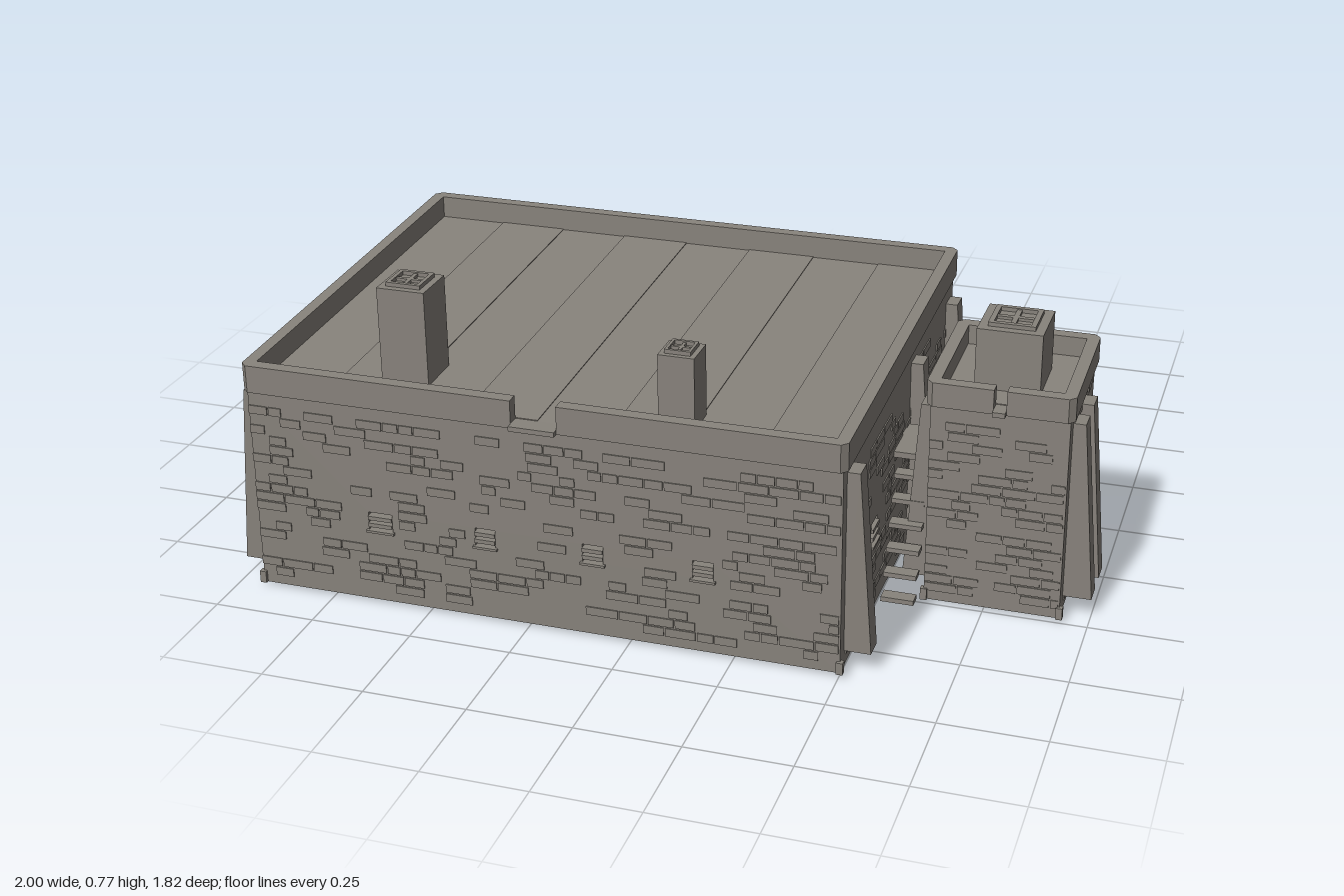
import * as THREE from 'three';
import { mergeGeometries } from 'three/addons/utils/BufferGeometryUtils.js';

const SLOPE = 0.033; // every roof rises gently towards the back
const GROUND = 0.01;
const T = 0.045; // wall thickness

export function createModel() {
  const model = new THREE.Group();
  const stone = new THREE.MeshStandardMaterial({ color: 0x88837c });
  stone.name = 'warm grey stone';

  let seed = 7;
  const rand = () => (seed = (seed * 16807) % 2147483647) / 2147483647;

  const add = (parent, name, geo) => {
    const m = new THREE.Mesh(geo, stone);
    m.name = name;
    parent.add(m);
    return m;
  };
  // box given by its two corners
  const span = (x0, x1, y0, y1, z0, z1) =>
    new THREE.BoxGeometry(x1 - x0, y1 - y0, z1 - z0)
      .translate((x0 + x1) / 2, (y0 + y1) / 2, (z0 + z1) / 2);
  // tilt a geometry so that it rises towards -z
  const tilt = (geo, zFront) => {
    const p = geo.attributes.position;
    for (let i = 0; i < p.count; i++) p.setY(i, p.getY(i) + SLOPE * (zFront - p.getZ(i)));
    geo.computeVertexNormals();
    return geo;
  };

  // wall with openings, grates or frames, and slightly raised stones; outside faces local +z
  function wall(name, len, hL, hR, openings) {
    const g = new THREE.Group();
    g.name = name;
    const s = new THREE.Shape([[-len / 2, GROUND], [len / 2, GROUND], [len / 2, hR], [-len / 2, hL]]
      .map(p => new THREE.Vector2(...p)));
    for (const o of openings) {
      const [a, b, c, d] = [o.u - o.w / 2, o.u + o.w / 2, o.y - o.h / 2, o.y + o.h / 2];
      s.holes.push(new THREE.Path([[a, c], [a, d], [b, d], [b, c]].map(p => new THREE.Vector2(...p))));
      if (o.kind === 'grate') {
        for (const f of [-0.2, 0.2]) add(g, 'windowBar', span(a, b, o.y + f * o.h - 0.005, o.y + f * o.h + 0.005, -0.02, 0.005));
        add(g, 'windowSill', span(a - 0.005, b + 0.005, c - 0.006, c, -0.02, 0.008));
      } else {
        const e = 0.01;
        add(g, 'frame', mergeGeometries([
          span(a - e, a, c, d + e, -0.02, 0.007), span(b, b + e, c, d + e, -0.02, 0.007),
          span(a, b, d, d + e, -0.02, 0.007), span(a - e, b + e, c - e, c, -0.02, 0.007)]));
        if (o.kind === 'door') add(g, 'doorPanel', span(a, b, c, d, -0.035, -0.025));
      }
    }
    add(g, 'wall', new THREE.ExtrudeGeometry(s, { depth: T, bevelEnabled: false }).translate(0, 0, -T));
    const stones = [];
    const top = Math.min(hL, hR) - 0.015;
    for (let y = 0.035; y + 0.022 < top; y += 0.025) {
      let u = -len / 2;
      while (u < len / 2 - 0.02) {
        const w = Math.min(0.035 + rand() * 0.05, len / 2 - u);
        const clear = openings.every(o => Math.abs(u + w / 2 - o.u) > (w + o.w) / 2 + 0.015
          || Math.abs(y + 0.011 - o.y) > o.h / 2 + 0.03);
        if (clear && rand() < 0.45) stones.push(span(u, u + w - 0.004, y, y + 0.021, -0.002, 0.003));
        u += w;
      }
    }
    add(g, 'raisedStones', mergeGeometries(stones));
    return g;
  }

  // parapet ring with clipped corners and an optional gap at the front
  function parapet(x0, x1, z0, z1, yb, yt, notch) {
    const c = 0.015, i = 0.03;
    const [X0, X1, Z0, Z1] = [x0 + i, x1 - i, z0 + i, z1 - i];
    const outer = [[x1 - c, z1], [x1, z1 - c], [x1, z0 + c], [x1 - c, z0], [x0 + c, z0], [x0, z0 + c], [x0, z1 - c], [x0 + c, z1]];
    const inner = [[X0, Z1], [X0, Z0], [X1, Z0], [X1, Z1]];
    const v = list => list.map(([x, z]) => new THREE.Vector2(x, -z));
    let s;
    if (notch) {
      const [a, b] = notch;
      s = new THREE.Shape(v([[b, z1], ...outer, [a, z1], [a, Z1], ...inner, [b, Z1]]));
    } else {
      s = new THREE.Shape(v(outer));
      s.holes.push(new THREE.Path(v(inner)));
    }
    const g = new THREE.ExtrudeGeometry(s, { depth: yt - yb, bevelEnabled: false });
    return tilt(g.rotateX(-Math.PI / 2).translate(0, yb, 0), z1);
  }

  // sloping pier against a side wall, wider at its foot
  function buttress(parent, x, z, top, dir, foot = 0.063) {
    const s = new THREE.Shape([[-0.01, 0.05], [foot, 0.05], [0.03, top], [-0.01, top]]
      .map(p => new THREE.Vector2(...p)));
    const m = add(parent, 'buttress', new THREE.ExtrudeGeometry(s, { depth: 0.054, bevelEnabled: false }).translate(0, 0, -0.027));
    m.position.set(x, 0, z);
    if (dir < 0) m.rotation.y = Math.PI;
  }

  // complete flat-roofed block; x and z limits are those of the parapet
  function block({ name, x0, x1, z0, z1, yb, yt, notch, planks, open = {}, noFront }) {
    const g = new THREE.Group();
    g.name = name;
    model.add(g);
    const o = 0.01, [a, b, c, d] = [x0 + o, x1 - o, z0 + o, z1 - o];
    const cx = (a + b) / 2, cz = (c + d) / 2, W = b - a, D = d - c - 2 * T;
    const h = z => yb + 0.004 + SLOPE * (z1 - z);
    const sides = [
      ['frontWall', W, h(d), h(d), 1, cx, 0, [cx, 0, d]],
      ['backWall', W, h(c), h(c), -1, cx, Math.PI, [cx, 0, c]],
      ['leftWall', D, h(d), h(c), -1, cz, Math.PI / 2, [b, 0, cz]],
      ['rightWall', D, h(c), h(d), 1, cz, -Math.PI / 2, [a, 0, cz]],
    ];
    for (const [n, len, hL, hR, sgn, mid, turn, pos] of sides) {
      if (n === 'frontWall' && noFront) continue;
      const w = wall(n, len, hL, hR, (open[n] || []).map(q => ({ ...q, u: sgn * (q.at - mid) })));
      w.rotation.y = turn;
      w.position.set(...pos);
      g.add(w);
    }
    // footing stones at the corners
    for (const x of [a, b]) for (const z of noFront ? [c] : [c, d])
      add(g, 'footingStone', span(x - 0.008, x + 0.008, GROUND, 0.04, z - 0.008, z + 0.008));
    add(g, 'parapet', parapet(x0, x1, z0, z1, yb, yt, notch));
    add(g, 'roofSlab', tilt(span(x0 + 0.02, x1 - 0.02, yb - 0.015, yb + 0.009, z0 + 0.02, z1 - 0.02), z1));
    // roof boards at alternating heights
    const step = (x1 - x0 - 0.06) / planks;
    for (let k = 0; k < planks; k++) {
      const x = x0 + 0.03 + k * step;
      add(g, 'roofBoard', tilt(span(x, x + step, yb + 0.005, yb + 0.011 + (k % 2) * 0.002, z0 + 0.03, z1 - 0.03), z1));
    }
    if (notch) add(g, 'rainSpout', span(notch[0], notch[1], yb, yb + 0.012, z1 - 0.035, z1 + 0.016));
    return g;
  }

  // chimney with a raised rim and crossed bars over its mouth
  function chimney(x, z, w, y0, y1) {
    const g = new THREE.Group();
    g.name = 'chimney';
    model.add(g);
    const r = w / 2, q = r * 0.72, e = r * 0.16;
    add(g, 'shaft', span(x - r, x + r, y0, y1 - 0.01, z - r, z + r));
    for (const s of [-1, 1]) {
      add(g, 'rim', new THREE.BoxGeometry(2 * q, 0.012, e).translate(x, y1 - 0.006, z + s * (q - e / 2)));
      add(g, 'rim', new THREE.BoxGeometry(e, 0.012, 2 * q).translate(x + s * (q - e / 2), y1 - 0.006, z));
    }
    add(g, 'bar', new THREE.BoxGeometry(2 * q, 0.008, e).translate(x, y1 - 0.007, z));
    add(g, 'bar', new THREE.BoxGeometry(e, 0.008, 2 * q).translate(x, y1 - 0.007, z));
  }

  const grate = (at, w = 0.05, h = 0.045) => ({ at, w, h, y: 0.22, kind: 'grate' });
  const tall = at => ({ at, w: 0.05, h: 0.12, y: 0.145, kind: 'frame' });

  // main hall
  const hall = block({
    name: 'mainHall', x0: -0.945, x1: 0.512, z0: -0.24, z1: 0.89, yb: 0.517, yt: 0.585, notch: [-0.27, -0.16], planks: 8,
    open: {
      frontWall: [grate(-0.615, 0.06), grate(-0.35), grate(-0.085), grate(0.18)],
      leftWall: [grate(0.58, 0.06, 0.055), grate(0.08, 0.06)],
      rightWall: [grate(0.62, 0.06), grate(0.02, 0.06)],
    },
  });
  for (const z of [-0.18, 0.21, 0.43, 0.82]) buttress(hall, -0.935, z, 0.5, -1);
  for (const z of [-0.18, 0.21, 0.82]) buttress(hall, 0.502, z, 0.5, 1);

  // side tower
  const tower = block({
    name: 'sideTower', x0: 0.597, x1: 0.942, z0: 0.145, z1: 0.505, yb: 0.52, yt: 0.58, notch: [0.755, 0.785], planks: 3,
  });
  for (const z of [0.32, 0.43]) {
    buttress(tower, 0.932, z, 0.5, 1, 0.068);
    buttress(tower, 0.607, z, 0.5, -1);
  }

  // rear annex
  const annex = block({
    name: 'rearAnnex', x0: -0.505, x1: 0.072, z0: -0.86, z1: -0.21, yb: 0.258, yt: 0.325, planks: 5, noFront: true,
    open: {
      leftWall: [tall(-0.44), tall(-0.617)],
      rightWall: [tall(-0.44), tall(-0.617)],
      backWall: [{ at: -0.215, w: 0.09, h: 0.17, y: 0.115, kind: 'door' }],
    },
  });
  for (const z of [-0.275, -0.8]) {
    buttress(annex, 0.062, z, 0.245, 1);
    buttress(annex, -0.495, z, 0.245, -1);
  }
  add(annex, 'doorStep', span(-0.29, -0.14, 0.01, 0.03, -0.89, -0.84));
  add(annex, 'doorStep', span(-0.29, -0.14, 0.005, 0.018, -0.915, -0.88));

  chimney(-0.585, 0.705, 0.118, 0.52, 0.775);
  chimney(0.097, 0.767, 0.086, 0.52, 0.717);
  chimney(0.767, 0.33, 0.155, 0.52, 0.695);

  // stairs and landing in the passage between hall and tower
  const passage = new THREE.Group();
  passage.name = 'passageStairs';
  model.add(passage);
  add(passage, 'landing', span(0.5, 0.607, 0.33, 0.345, 0.25, 0.41));
  for (let k = 0; k < 6; k++) {
    const y = 0.02 + k * 0.055, dz = 0.13 * (1 - k / 6);
    for (const [edge, s] of [[0.41, 1], [0.25, -1]])
      add(passage, 'tread', new THREE.BoxGeometry(0.08, 0.012, 0.035).translate(0.553, y, edge + s * (dz - 0.012)));
  }
  for (let k = 0; k < 3; k++)
    add(passage, 'lowStep', span(0.508, 0.585, k === 2 ? 0 : 0.005, 0.038 - k * 0.012, 0.1 - k * 0.047, 0.165 - k * 0.05));

  return model;
}
